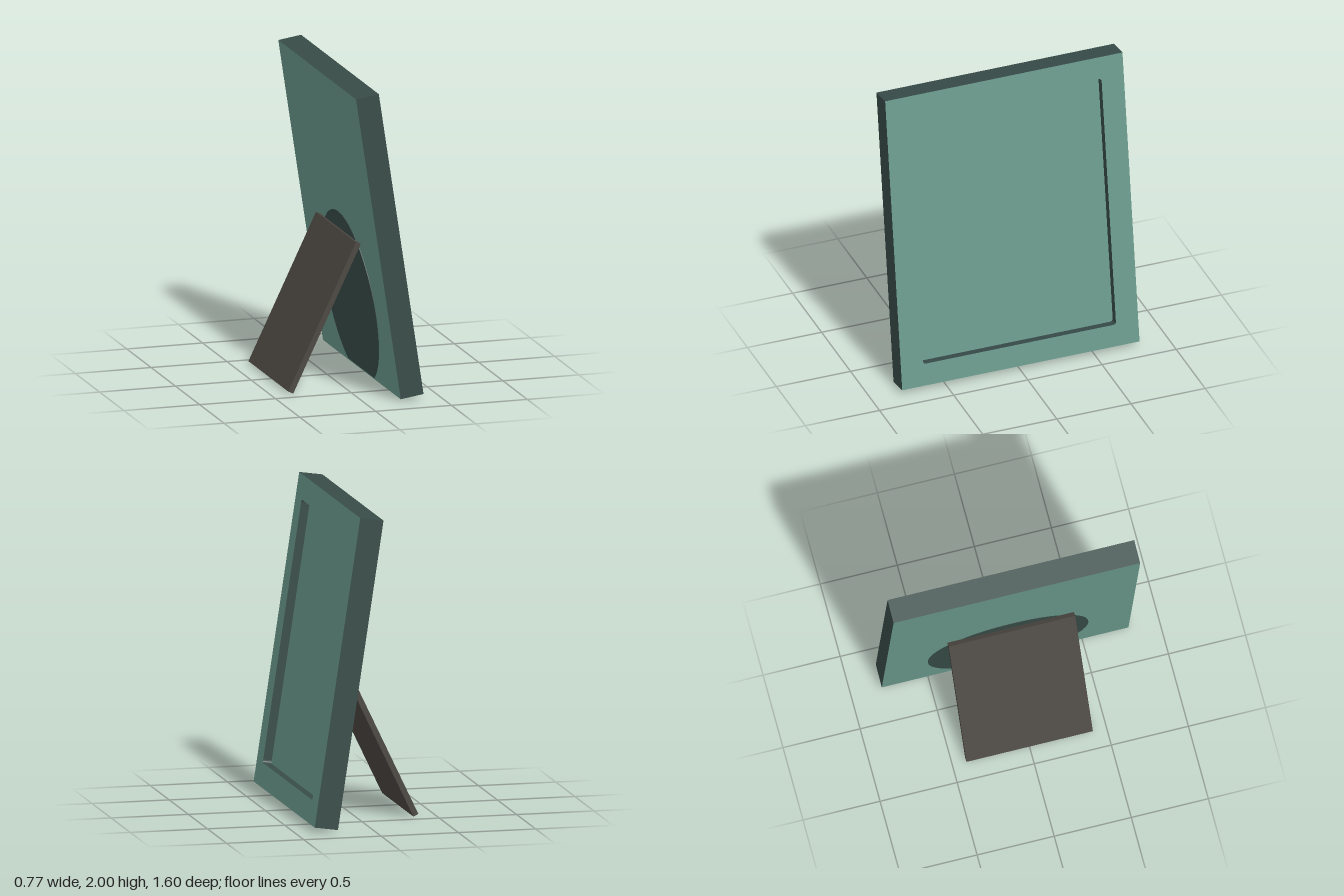
import * as THREE from 'three';

const mat = (name, color) => {
  const m = new THREE.MeshStandardMaterial({ color });
  m.name = name;
  return m;
};

// Rounded rectangle path centred on the origin
function roundedRect(path, w, h, r) {
  const x = w / 2, y = h / 2;
  path.moveTo(-x + r, -y);
  path.lineTo(x - r, -y).quadraticCurveTo(x, -y, x, -y + r);
  path.lineTo(x, y - r).quadraticCurveTo(x, y, x - r, y);
  path.lineTo(-x + r, y).quadraticCurveTo(-x, y, -x, y - r);
  path.lineTo(-x, -y + r).quadraticCurveTo(-x, -y, -x + r, -y);
  return path;
}

export function createModel() {
  const face = mat('sage green', 0x6a9a8c);
  const edge = mat('dark green', 0x384c48);
  const brown = mat('dark brown', 0x4b4641);

  const W = 1.6, H = 1.987, T = 0.152, RECESS = 0.056;
  const model = new THREE.Group();
  model.name = 'pictureFrame';
  const add = (parent, name, geometry, material) => {
    const m = new THREE.Mesh(geometry, material);
    m.name = name;
    parent.add(m);
    return m;
  };

  // Leaning frame: the inner group turns local +z to face +x
  const lean = new THREE.Group();
  lean.name = 'leaningFrame';
  lean.position.set(0.1575, 1.0075, 0);
  lean.rotation.z = 0.149;
  const body = new THREE.Group();
  body.name = 'frameBody';
  body.rotation.y = Math.PI / 2;
  lean.add(body);
  model.add(lean);

  // Raised border around the picture opening
  const border = new THREE.Shape();
  border.moveTo(-W / 2, -H / 2).lineTo(W / 2, -H / 2).lineTo(W / 2, H / 2).lineTo(-W / 2, H / 2).closePath();
  border.holes.push(roundedRect(new THREE.Path(), 1.3, 1.69, 0.02));
  const rim = new THREE.ExtrudeGeometry(border, { depth: RECESS, bevelEnabled: false, curveSegments: 4 });
  add(body, 'border', rim, [face, edge]).position.z = T / 2 - RECESS;

  // Board behind the opening: light front and back, dark edges
  const board = new THREE.BoxGeometry(W, H, T - RECESS);
  add(body, 'backBoard', board, [edge, edge, edge, edge, face, face]).position.z = -RECESS / 2;

  // Dark rounded patch on the back, cut off at the bottom edge
  const patch = new THREE.Shape();
  patch.absellipse(0, -0.503, 0.52, 0.56, -1.03, Math.PI + 1.03, false, 0);
  patch.closePath();
  const plate = new THREE.ExtrudeGeometry(patch, { depth: 0.004, bevelEnabled: false, curveSegments: 32 });
  add(body, 'backPatch', plate, edge).position.z = -T / 2 - 0.003;

  // Flat easel leg propping up the back
  const leg = add(model, 'easelLeg', new THREE.BoxGeometry(0.036, 1.034, 0.82), brown);
  leg.position.set(-0.148, 0.476, 0);
  leg.rotation.z = -0.445;

  return model;
}
